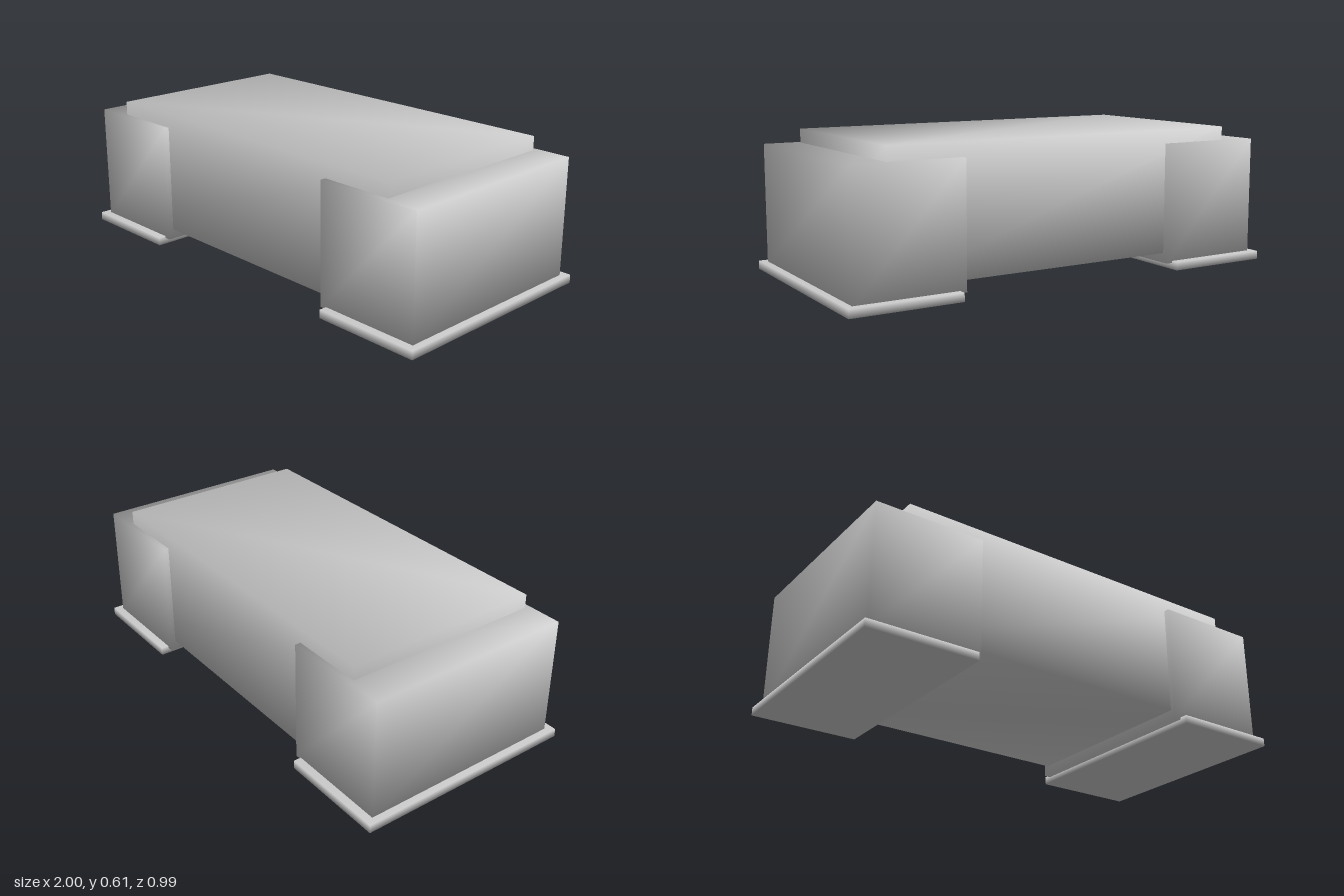
import * as THREE from 'three';
import { mergeVertices } from 'three/addons/utils/BufferGeometryUtils.js';

// Box with shared corners, so shading runs smoothly over its edges
function smoothBox(name, material, [x0, x1], [y0, y1], [z0, z1]) {
  let geometry = new THREE.BoxGeometry(x1 - x0, y1 - y0, z1 - z0);
  geometry.deleteAttribute('normal');
  geometry.deleteAttribute('uv');
  geometry = mergeVertices(geometry);
  geometry.computeVertexNormals();
  const mesh = new THREE.Mesh(geometry, material);
  mesh.name = name;
  mesh.position.set((x0 + x1) / 2, (y0 + y1) / 2, (z0 + z1) / 2);
  return mesh;
}

export function createModel() {
  const group = new THREE.Group();
  group.name = 'block';
  const grey = new THREE.MeshStandardMaterial({ color: 0xcccccc });
  grey.name = 'light grey';

  // Long central body
  group.add(smoothBox('body', grey, [-0.816, 0.816], [0.07, 0.608], [-0.436, 0.436]));

  // End blocks, each standing on a thin foot plate
  for (const [side, s] of [['left', 1], ['right', -1]]) {
    const span = (a, b) => (s > 0 ? [a, b] : [-b, -a]);
    group.add(smoothBox(side + 'EndBlock', grey, span(0.495, 0.971), [0.027, 0.548], [-0.46, 0.46]));
    group.add(smoothBox(side + 'FootPlate', grey, span(0.525, 1), [0, 0.036], [-0.494, 0.494]));
  }
  return group;
}
